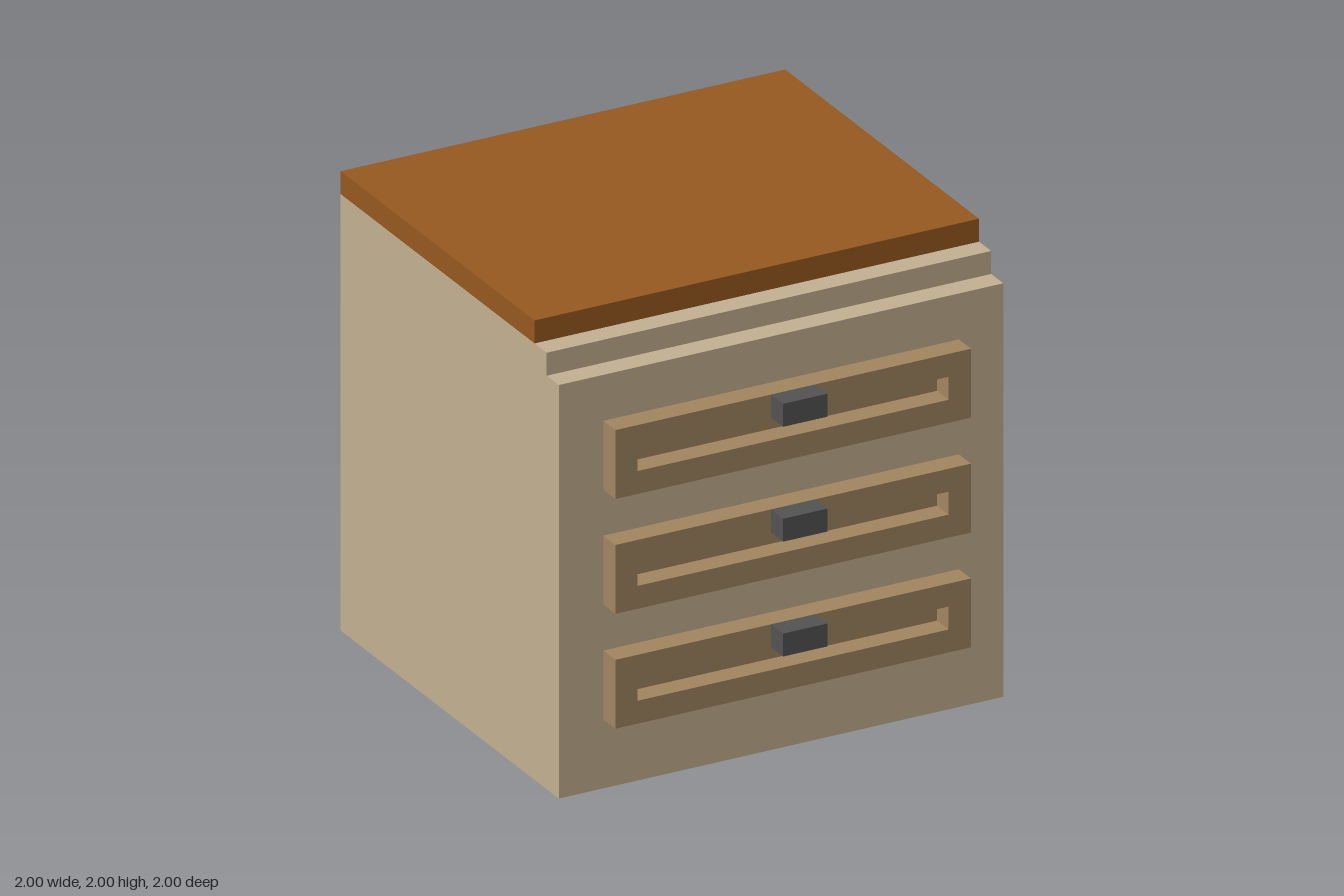
import * as THREE from 'three';

const mat = (name, color) => new THREE.MeshStandardMaterial({ name, color });

function addBox(parent, name, material, [w, h, d], [x, y, z]) {
  const mesh = new THREE.Mesh(new THREE.BoxGeometry(w, h, d), material);
  mesh.name = name;
  mesh.position.set(x, y, z);
  parent.add(mesh);
  return mesh;
}

const rectPoints = (x0, y0, x1, y1) =>
  [[x0, y0], [x1, y0], [x1, y1], [x0, y1]].map(([x, y]) => new THREE.Vector2(x, y));

export function createModel() {
  const model = new THREE.Group();
  model.name = 'drawerCabinet';

  const khaki = mat('khakiBody', 0xc3b091);
  const tan = mat('tanDrawer', 0xa28560);
  const brown = mat('brownTop', 0x975920);
  const grey = mat('greyHandle', 0x535353);

  // Cabinet body: stepped side profile (z, y), extruded across the width
  const profile = [[-1, 0], [0.8, 0], [0.8, 1.8], [0.7, 1.8], [0.7, 1.9], [-1, 1.9]];
  const side = new THREE.Shape(profile.map(([z, y]) => new THREE.Vector2(-z, y)));
  const bodyGeometry = new THREE.ExtrudeGeometry(side, { depth: 2, bevelEnabled: false });
  bodyGeometry.translate(0, 0, -1).rotateY(Math.PI / 2);
  const body = new THREE.Mesh(bodyGeometry, khaki);
  body.name = 'body';
  model.add(body);

  // Worktop, set back from the front steps
  addBox(model, 'worktop', brown, [2, 0.1, 1.6], [0, 1.95, -0.2]);

  // Drawer fronts: a slotted frame, a thin slot backing and a handle
  const front = new THREE.Shape(rectPoints(-0.8, 0, 0.8, 0.3));
  front.holes.push(new THREE.Path(rectPoints(-0.7, 0.1, 0.7, 0.2)));
  const frontGeometry = new THREE.ExtrudeGeometry(front, { depth: 0.1, bevelEnabled: false });

  ['bottom', 'middle', 'top'].forEach((level, i) => {
    const drawer = new THREE.Group();
    drawer.name = `${level}Drawer`;
    drawer.position.set(0, 0.3 + i * 0.5, 0.8);
    const frame = new THREE.Mesh(frontGeometry, tan);
    frame.name = 'drawerFront';
    drawer.add(frame);
    addBox(drawer, 'slotBacking', tan, [1.4, 0.1, 0.004], [0, 0.15, 0.002]);
    addBox(drawer, 'handle', grey, [0.2, 0.1, 0.1], [0, 0.25, 0.15]);
    model.add(drawer);
  });

  return model;
}
